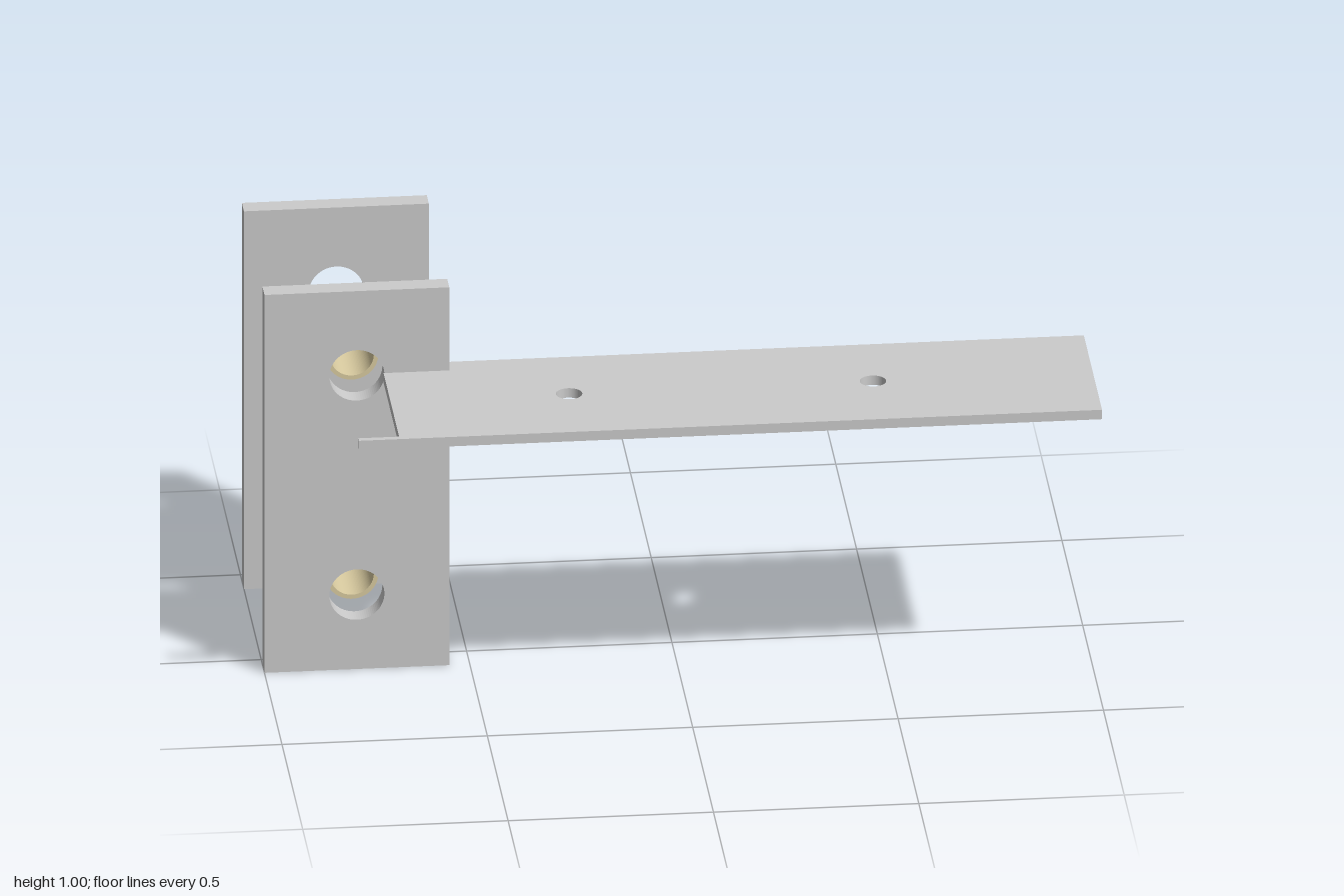
import * as THREE from 'three';

const grey = new THREE.MeshStandardMaterial({ color: 0xcccccc });
const brass = new THREE.MeshStandardMaterial({ color: 0xd9cba0 });

const BOLT_X = -0.775;
const BOLT_Y = [0.198, 0.781];

// Flat outline with round holes [x, y, radius], extruded to a thickness
function punched(points, holes, depth) {
  const shape = new THREE.Shape(points.map(([x, y]) => new THREE.Vector2(x, y)));
  for (const [x, y, r] of holes) {
    shape.holes.push(new THREE.Path().absarc(x, y, r, 0, Math.PI * 2, true));
  }
  return new THREE.ExtrudeGeometry(shape, { depth, bevelEnabled: false, curveSegments: 40 });
}

export function createModel() {
  const model = new THREE.Group();
  const add = (name, geometry, material) => {
    const mesh = new THREE.Mesh(geometry, material);
    mesh.name = name;
    model.add(mesh);
    return mesh;
  };

  // Two upright clamping plates with bolt holes
  const outline = [[-1, 0], [-0.55, 0], [-0.55, 1.005], [-1, 1.005]];
  const boltHoles = BOLT_Y.map((y) => [BOLT_X, y, 0.067]);
  for (const [name, z] of [['frontPlate', 0.028], ['backPlate', -0.465]]) {
    add(name, punched(outline, boltHoles, 0.05), grey).position.z = z;
  }

  // Hollow spacer bushings floating between the plates
  for (const [i, y] of BOLT_Y.entries()) {
    const ring = new THREE.Shape().absarc(0, 0, 0.064, 0, Math.PI * 2, false);
    ring.holes.push(new THREE.Path().absarc(0, 0, 0.053, 0, Math.PI * 2, true));
    const tube = new THREE.ExtrudeGeometry(ring, { depth: 0.155, bevelEnabled: false, curveSegments: 48 });
    add(i ? 'upperBushing' : 'lowerBushing', tube, brass).position.set(BOLT_X, y, -0.194);
  }

  // Horizontal arm, notched around the front plate, with a thin tab at its front corner
  const arm = punched(
    [[-0.55, 0.028], [1, 0.028], [1, 0.467], [-0.81, 0.467], [-0.81, 0.452], [-0.71, 0.452], [-0.71, 0.078], [-0.55, 0.078]],
    [[-0.275, 0.243, 0.032], [0.465, 0.243, 0.032]],
    0.025
  );
  arm.rotateX(Math.PI / 2);
  add('arm', arm, grey).position.y = 0.784;

  return model;
}
